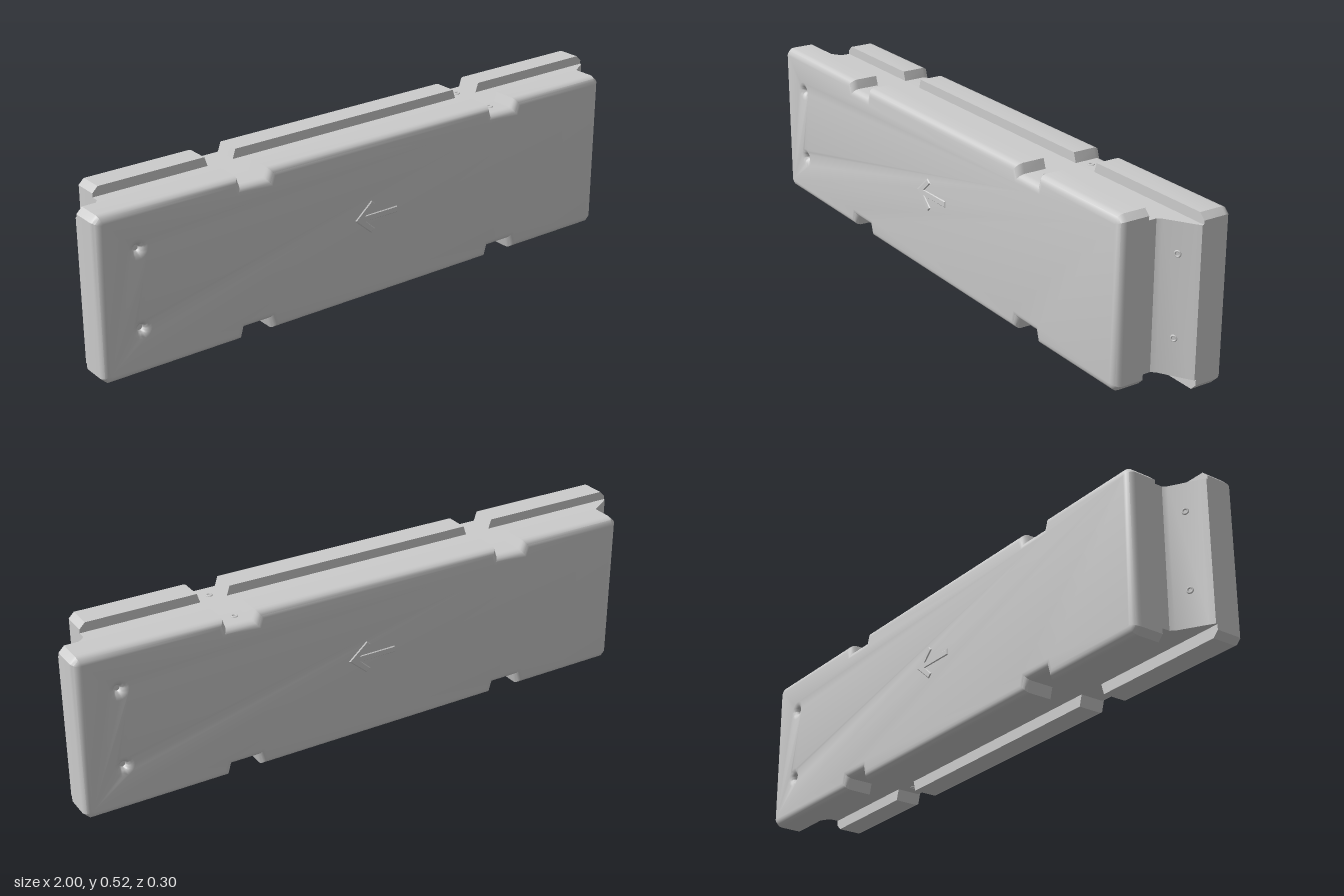
import * as THREE from 'three';
import { toCreasedNormals } from 'three/addons/utils/BufferGeometryUtils.js';

const HEIGHT = 0.517, INNER = 0.05, OUTER = 0.146, BEVEL = 0.024;
const SLOT = 0.035, TOP = 0.487;
const BOLT_Y = [0.143, 0.39];

const shapeOf = (pts) => new THREE.Shape(pts.map(([x, y]) => new THREE.Vector2(x, y)));

// Slab outline with cut corners and two strap notches along the top and bottom.
function slabShape() {
  const l = -1, r = 0.895, c = 0.018, h = HEIGHT;
  const notch = (x, edge, floor) => [
    [x - 0.054, edge], [x - 0.044, floor], [x + 0.044, floor], [x + 0.054, edge],
  ];
  const bottom = [...notch(-0.48, 0, SLOT), ...notch(0.47, 0, SLOT)];
  const top = [...notch(-0.48, h, TOP), ...notch(0.47, h, TOP)].reverse();
  const shape = shapeOf([
    [l + c, 0], ...bottom, [r - c, 0], [r, c],
    [r, h - c], [r - c, h], ...top, [l + c, h], [l, h - c], [l, c],
  ]);
  for (const y of BOLT_Y) {
    const hole = new THREE.Path();
    hole.absarc(-0.87, y, 0.008, 0, Math.PI * 2, true);
    shape.holes.push(hole);
  }
  return shape;
}

// Rounded on the outer face only: the inner bevel is flattened into a plane.
function slabGeometry() {
  const geo = new THREE.ExtrudeGeometry(slabShape(), {
    depth: OUTER - INNER - BEVEL, bevelThickness: BEVEL, bevelSize: BEVEL,
    bevelOffset: -BEVEL, bevelSegments: 4, curveSegments: 10,
  });
  const p = geo.attributes.position;
  for (let i = 0; i < p.count; i++) p.setZ(i, Math.max(0, p.getZ(i)));
  return toCreasedNormals(geo.translate(0, 0, INNER), 0.6);
}

// Middle web with sloping ends, extruded upwards.
function coreGeometry() {
  const half = [[1, -0.05], [1, -0.045], [0.985, -0.035], [0.905, 0.013], [0.895, 0.025], [0.895, 0.05]];
  const plan = [...half, ...half.map(([x, z]) => [-x, -z])];
  const geo = new THREE.ExtrudeGeometry(shapeOf(plan.map(([x, z]) => [x, -z])), {
    depth: TOP - SLOT, bevelEnabled: false,
  });
  return toCreasedNormals(geo.rotateX(-Math.PI / 2).translate(0, SLOT, 0), 0.6);
}

// Shallow direction arrow pointing towards -x.
function arrowGeometry() {
  const half = [[-0.118, 0], [-0.06, 0.05], [-0.05, 0.041], [-0.085, 0.008], [0.038, 0.008]];
  const pts = [...half, ...half.slice(1).reverse().map(([x, y]) => [x, -y])];
  return new THREE.ExtrudeGeometry(shapeOf(pts), {
    depth: 0.003, bevelThickness: 0.003, bevelSize: 0.003, bevelSegments: 1,
  }).translate(0, 0.27, OUTER - 0.003);
}

const pinRim = () => new THREE.TorusGeometry(0.008, 0.003, 6, 12);

export function createModel() {
  const group = new THREE.Group();
  const material = new THREE.MeshStandardMaterial({ color: 0xcccccc });

  // The whole body grows slightly taller towards +x.
  const add = (name, geo) => {
    const p = geo.attributes.position;
    for (let i = 0; i < p.count; i++) p.setY(i, p.getY(i) * (1 + 0.012 * p.getX(i)));
    const mesh = new THREE.Mesh(geo, material);
    mesh.name = name;
    group.add(mesh);
  };

  add('core', coreGeometry());

  // The back half is the front half turned about the vertical axis.
  for (const [side, turn] of [['front', 0], ['back', Math.PI]]) {
    add(side + 'Slab', slabGeometry().rotateY(turn));
    add(side + 'Arrow', arrowGeometry().rotateY(turn));
    for (const y of BOLT_Y) {
      add(side + 'BoltRecess',
        new THREE.CircleGeometry(0.03, 16).translate(-0.87, y, OUTER - 0.018).rotateY(turn));
      add(side + 'EndPinHole',
        pinRim().rotateY(0.54).translate(0.945, y + 0.005, -0.011).rotateY(turn));
    }
  }

  // Pin holes in the floors of the +x notches.
  for (const z of [-0.08, 0.08]) {
    for (const y of [SLOT, TOP]) {
      add('notchPinHole', pinRim().rotateX(Math.PI / 2).translate(0.47, y, z));
    }
  }
  return group;
}
